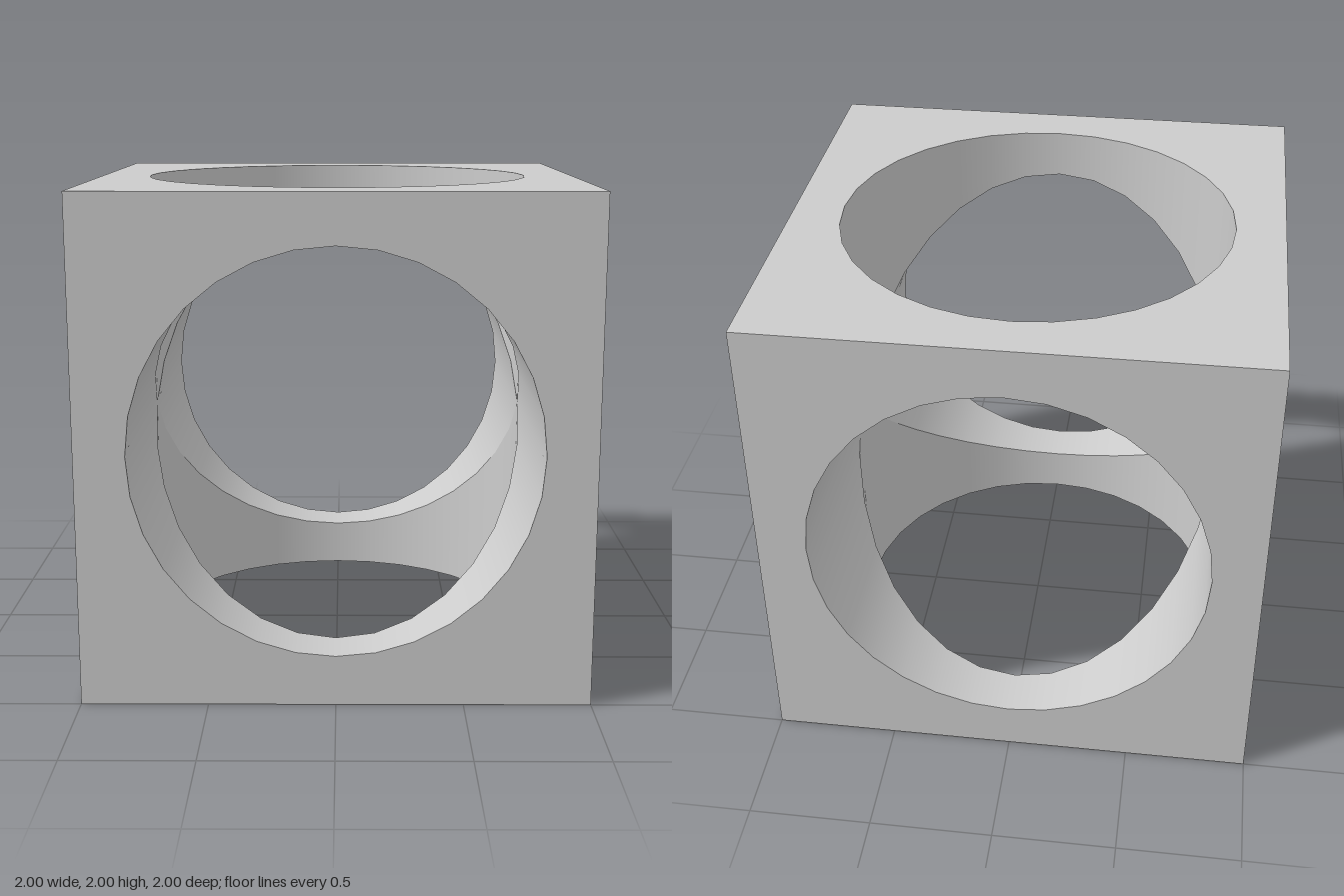
import * as THREE from 'three';

const HALF = 1;     // half the cube's edge
const R = 0.8;      // bore radius
const SIDES = 32;

// Square face with a round opening, facing +z
function openFace() {
  const shape = new THREE.Shape([
    new THREE.Vector2(-HALF, -HALF), new THREE.Vector2(HALF, -HALF),
    new THREE.Vector2(HALF, HALF), new THREE.Vector2(-HALF, HALF),
  ]);
  shape.holes.push(new THREE.Path().absarc(0, 0, R, 0, Math.PI * 2, true));
  return new THREE.ShapeGeometry(shape, SIDES / 2).translate(0, 0, HALF);
}

// Half of a bore: runs inward from the face and stops where the crossing bore cuts it
function boreWall() {
  const geo = new THREE.CylinderGeometry(R, R, 2, SIDES, 1, true);
  const pos = geo.attributes.position;
  const normal = geo.attributes.normal;
  for (let i = 0; i < pos.count; i++) {
    pos.setY(i, pos.getY(i) > 0 ? HALF : Math.abs(pos.getZ(i)));
    normal.setXYZ(i, -normal.getX(i), 0, -normal.getZ(i));
  }
  geo.index.array.reverse(); // the wall is seen from inside
  return geo.rotateX(Math.PI / 2);
}

export function createModel() {
  const model = new THREE.Group();
  model.name = 'boredCube';
  const material = new THREE.MeshStandardMaterial({ color: 0xcccccc });
  const add = (parent, name, geometry) => {
    const mesh = new THREE.Mesh(geometry, material);
    mesh.name = name;
    parent.add(mesh);
    return mesh;
  };

  // Four open sides around the x axis
  const face = openFace();
  const wall = boreWall();
  ['front', 'bottom', 'back', 'top'].forEach((name, i) => {
    const side = new THREE.Group();
    side.name = name + 'Side';
    side.position.y = HALF;
    side.rotation.x = i * Math.PI / 2;
    add(side, name + 'Face', face);
    add(side, name + 'BoreWall', wall);
    model.add(side);
  });

  // Two solid sides
  const plane = new THREE.PlaneGeometry(2 * HALF, 2 * HALF);
  for (const [name, s] of [['leftFace', 1], ['rightFace', -1]]) {
    const mesh = add(model, name, plane);
    mesh.position.set(s * HALF, HALF, 0);
    mesh.rotation.y = s * Math.PI / 2;
  }
  return model;
}
